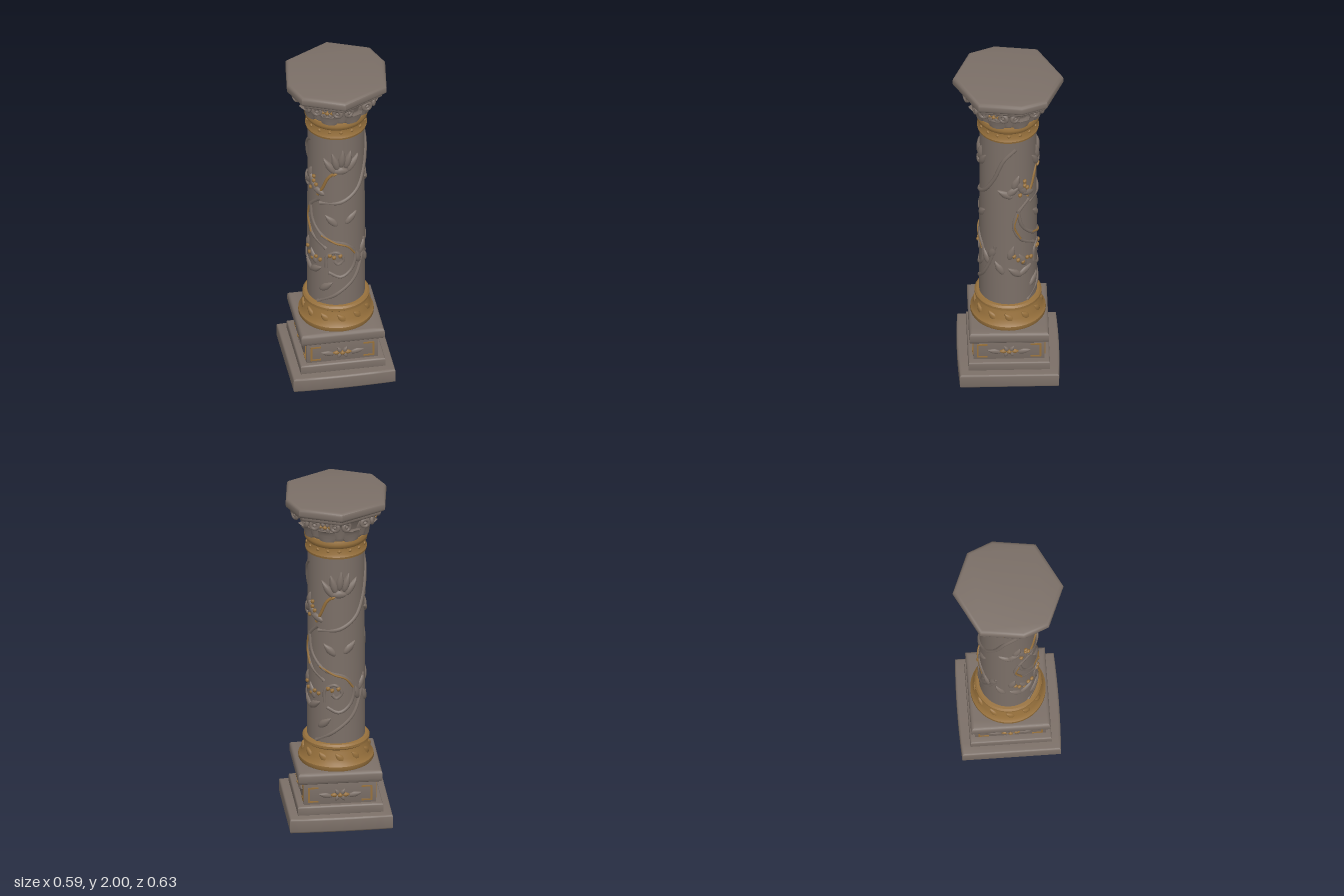
import * as THREE from 'three';
import { toCreasedNormals } from 'three/addons/utils/BufferGeometryUtils.js';

const stone = new THREE.MeshStandardMaterial({ color: 0x7b6f67 });
stone.name = 'stone';
const gold = new THREE.MeshStandardMaterial({ color: 0x96703c });
gold.name = 'dull gold';

const rad = THREE.MathUtils.degToRad;

function add(parent, name, geometry, material, x = 0, y = 0, z = 0) {
  const mesh = new THREE.Mesh(geometry, material);
  mesh.name = name;
  mesh.position.set(x, y, z);
  parent.add(mesh);
  return mesh;
}

// A level slab with rounded edges, from an outline in x and -z
function slab(shape, y0, y1, bevel) {
  const g = new THREE.ExtrudeGeometry(shape, {
    depth: y1 - y0 - 2 * bevel, bevelThickness: bevel, bevelSize: bevel,
    bevelOffset: -bevel, bevelSegments: 3, curveSegments: 8,
  });
  g.rotateX(-Math.PI / 2).translate(0, y0 + bevel, 0);
  return toCreasedNormals(g, 0.7);
}

// Rectangle whose long sides may swell a little
function rectangle(w, d, swell = 0) {
  const s = new THREE.Shape();
  s.moveTo(-w, -d).quadraticCurveTo(0, -d - swell * 2, w, -d);
  s.lineTo(w, d).quadraticCurveTo(0, d + swell * 2, -w, d);
  s.closePath();
  return s;
}

function turned(profile) {
  const points = profile.map(([r, y]) => new THREE.Vector2(r, y));
  return toCreasedNormals(new THREE.LatheGeometry(points, 40), 0.6);
}

// Pivot turned about the column's axis: local +z points outward
function facing(parent, deg) {
  const pivot = new THREE.Group();
  pivot.rotation.y = rad(deg);
  parent.add(pivot);
  return pivot;
}

// Leaf-shaped pad narrowing towards its tip
const petal = new THREE.SphereGeometry(1, 12, 10);
{
  const p = petal.attributes.position;
  for (let i = 0; i < p.count; i++) {
    p.setX(i, p.getX(i) * (1 - 0.55 * Math.max(0, p.getY(i))));
  }
  petal.computeVertexNormals();
}

function relief(parent, name, deg, y, r, size, tilt, material = stone) {
  const mesh = add(facing(parent, deg), name, petal, material, 0, y, r);
  mesh.scale.set(...size);
  mesh.rotation.z = rad(tilt);
}

// Raised stem following [angle, height] points around the shaft
function stem(parent, name, points, thickness, material = stone, r = 0.162) {
  const path = new THREE.CatmullRomCurve3(points.map(([deg, y]) =>
    new THREE.Vector3(r * Math.sin(rad(deg)), y, r * Math.cos(rad(deg)))));
  add(parent, name, new THREE.TubeGeometry(path, 40, thickness, 7), material);
}

// Acanthus leaf: a bent slab that curls outward at its tip
function acanthusGeometry(w, h, lean, curl) {
  const g = new THREE.BoxGeometry(w, h, 0.022, 6, 10, 1);
  const p = g.attributes.position;
  for (let i = 0; i < p.count; i++) {
    const t = p.getY(i) / h + 0.5;
    const u = p.getX(i) / (w / 2);
    const width = 0.75 + 0.45 * Math.sin(t * Math.PI) - 0.25 * t;
    const drop = Math.max(0, t - 0.7) * 0.35 * h;
    p.setXYZ(i, p.getX(i) * width, t * h - drop * (1 + u * u),
      p.getZ(i) + lean * t + curl * t ** 4 - 0.012 * u * u);
  }
  g.computeVertexNormals();
  return toCreasedNormals(g, 0.8);
}

function rosette(parent, y, z, size) {
  for (let i = 0; i < 6; i++) {
    const a = i * Math.PI / 3;
    const m = add(parent, 'rosettePetal', petal, i % 3 ? stone : gold,
      Math.cos(a) * size * 1.3, y + Math.sin(a) * size * 0.8, z);
    m.scale.set(size * 0.5, size * 0.8, 0.012);
    m.rotation.z = a - Math.PI / 2;
  }
  add(parent, 'rosetteCentre', petal, gold, 0, y, z + 0.004).scale.set(size * 0.6, size * 0.5, 0.015);
}

function buildPedestal() {
  const g = new THREE.Group();
  g.name = 'pedestal';
  add(g, 'plinth', slab(rectangle(0.293, 0.28, 0.009), 0, 0.088, 0.012), stone);
  add(g, 'plinthStep', slab(rectangle(0.243, 0.231), 0.08, 0.14, 0.01), stone);
  add(g, 'die', slab(rectangle(0.205, 0.202), 0.13, 0.285, 0.006), stone);
  add(g, 'pedestalCap', slab(rectangle(0.24, 0.226), 0.27, 0.342, 0.02), stone);

  // Gilded corner brackets and rosette on each side of the die
  for (let side = 0; side < 4; side++) {
    const face = facing(g, side * 90);
    const z = side % 2 ? 0.206 : 0.203;
    for (const sx of [-1, 1]) {
      add(face, 'panelUpright', new THREE.BoxGeometry(0.01, 0.085, 0.008), gold, sx * 0.178, 0.2, z);
      for (const y of [0.158, 0.242]) {
        add(face, 'panelEdge', new THREE.BoxGeometry(0.06, 0.008, 0.008), gold, sx * 0.152, y, z);
      }
      const leaf = add(face, 'panelLeaf', petal, stone, sx * 0.085, 0.195, z);
      leaf.scale.set(0.016, 0.04, 0.01);
      leaf.rotation.z = -sx * 1.35;
    }
    rosette(face, 0.195, z, 0.026);
  }
  return g;
}

// Carving for one half of the shaft, used twice
function buildCarving() {
  const g = new THREE.Group();
  g.name = 'shaftCarving';
  stem(g, 'lowerVine', [[-50, 0.5], [-10, 0.57], [28, 0.66], [50, 0.78], [62, 0.9]], 0.011);
  stem(g, 'middleVine', [[-72, 1.16], [-62, 1.04], [-30, 0.95], [10, 0.91], [30, 0.84], [24, 0.74], [0, 0.69], [-25, 0.72]], 0.011);
  stem(g, 'upperVine', [[-45, 1.19], [0, 1.21], [35, 1.27], [60, 1.38], [80, 1.52], [105, 1.6]], 0.012);
  stem(g, 'sideVine', [[135, 1.22], [108, 1.14], [100, 1.04], [115, 0.95], [150, 0.88]], 0.011);
  stem(g, 'goldVine', [[-40, 0.97], [-10, 0.927], [12, 0.9], [28, 0.84]], 0.006, gold, 0.17);
  stem(g, 'goldSideVine', [[108, 1.14], [101, 1.05], [113, 0.96]], 0.006, gold, 0.17);
  stem(g, 'flowerStem', [[-5, 1.43], [-25, 1.38], [-38, 1.3], [-50, 1.24]], 0.009, gold);
  stem(g, 'curl', [[-30, 0.75], [-28, 0.83], [-8, 0.86], [5, 0.81], [-6, 0.78], [-14, 0.8]], 0.01);

  // Open flower
  [[-24, 1.46, 35], [-12, 1.49, 15], [2, 1.51, -5], [15, 1.5, -15], [26, 1.47, -35]].forEach(([deg, y, tilt]) =>
    relief(g, 'flowerPetal', deg, y, 0.16, [0.022, 0.06, 0.02], tilt));
  relief(g, 'flowerCup', 0, 1.43, 0.162, [0.045, 0.025, 0.018], 0);
  relief(g, 'flowerEdge', -12, 1.41, 0.17, [0.02, 0.008, 0.01], 35, gold);

  // Leaf clusters as [angle, height, tilt]
  const leaves = [[-62, 1.3, 40], [-75, 1.36, -20], [-50, 1.27, 70], [98, 1.3, -50], [112, 1.33, 30],
    [82, 1.28, 60], [-20, 1.08, 45], [22, 1.09, -45], [38, 0.8, 20], [55, 0.85, -25], [70, 0.75, 30],
    [-62, 0.8, 25], [-85, 0.86, -15], [-78, 0.72, 50], [125, 0.72, -60], [150, 0.62, -50]];
  for (const [deg, y, tilt] of leaves) {
    relief(g, 'leaf', deg, y, 0.159, [0.023, 0.05, 0.017], tilt);
  }
  // Gilded buds
  for (const [deg, y] of [[-58, 1.33], [-68, 1.27], [122, 1.36], [128, 1.31], [-14, 0.83], [-2, 0.84],
    [-22, 0.84], [-72, 0.81], [-80, 0.84], [118, 0.79], [128, 0.81], [138, 0.8]]) {
    relief(g, 'bud', deg, y, 0.17, [0.014, 0.012, 0.01], 60, gold);
  }
  return g;
}

function buildCapital() {
  const g = new THREE.Group();
  g.name = 'capital';
  add(g, 'bell', turned([[0.16, 1.75], [0.172, 1.77], [0.18, 1.82], [0.2, 1.88], [0.235, 1.93], [0, 1.93]]), stone);
  const lower = acanthusGeometry(0.105, 0.1, 0.012, 0.04);
  const upper = acanthusGeometry(0.08, 0.13, 0.02, 0.03);
  const scroll = new THREE.TorusGeometry(0.021, 0.012, 8, 16);
  for (let i = 0; i < 8; i++) {
    add(facing(g, i * 45 + 22.5), 'lowerLeaf', lower, stone, 0, 1.765, 0.18);
    const bay = facing(g, i * 45);
    add(bay, 'upperLeaf', upper, stone, 0, 1.79, 0.186);
    // Paired scrolls under each corner of the abacus
    for (const s of [-1, 1]) {
      add(bay, 'scroll', scroll, stone, s * 0.033, 1.883, 0.236).rotation.y = s * 0.5;
      add(bay, 'scrollEye', petal, stone, s * 0.033, 1.883, 0.236).scale.setScalar(0.013);
    }
    if (i % 2 === 0) rosette(facing(g, i * 45 - 22.5), 1.875, 0.222, 0.024);
  }

  // Uneven eight-sided abacus: half its corners, the rest opposite
  const half = [[0, -0.314], [0.235, -0.216], [0.295, -0.07], [0.26, 0.176]];
  const corners = [...half, ...half.map(([x, z]) => [-x, -z])];
  const outline = (k) => new THREE.Shape(corners.map(([x, z]) => new THREE.Vector2(x * k, -z * k)).reverse());
  add(g, 'abacusUnderside', slab(outline(0.91), 1.91, 1.96, 0.015), stone);
  add(g, 'abacus', slab(outline(1), 1.94, 2, 0.02), stone);
  return g;
}

export function createModel() {
  const model = new THREE.Group();
  model.name = 'column';
  model.add(buildPedestal());

  // Gilded foot with a leafy swell
  add(model, 'goldFoot', turned([[0, 0.335], [0.205, 0.335], [0.214, 0.35], [0.214, 0.37], [0.2, 0.385],
    [0.194, 0.41], [0.18, 0.445], [0.177, 0.46], [0.19, 0.47], [0.19, 0.485], [0.18, 0.495], [0.16, 0.497]]), gold);
  for (let i = 0; i < 12; i++) {
    relief(model, 'footLeaf', i * 30, 0.415, 0.184, [0.022, 0.036, 0.014], 40, gold);
  }

  add(model, 'shaft', turned([[0.164, 0.48], [0.163, 1.0], [0.162, 1.67]]), stone);
  const carving = buildCarving();
  const opposite = carving.clone();
  opposite.rotation.y = Math.PI;
  model.add(carving, opposite);

  // Gilded collar with studs
  add(model, 'goldCollar', turned([[0.155, 1.65], [0.173, 1.652], [0.176, 1.665], [0.168, 1.68], [0.167, 1.715],
    [0.178, 1.728], [0.181, 1.745], [0.175, 1.762], [0.15, 1.765]]), gold);
  for (let i = 0; i < 16; i++) {
    relief(model, 'collarStud', i * 22.5, 1.698, 0.166, [0.012, 0.01, 0.008], 0, gold);
  }

  model.add(buildCapital());
  return model;
}
